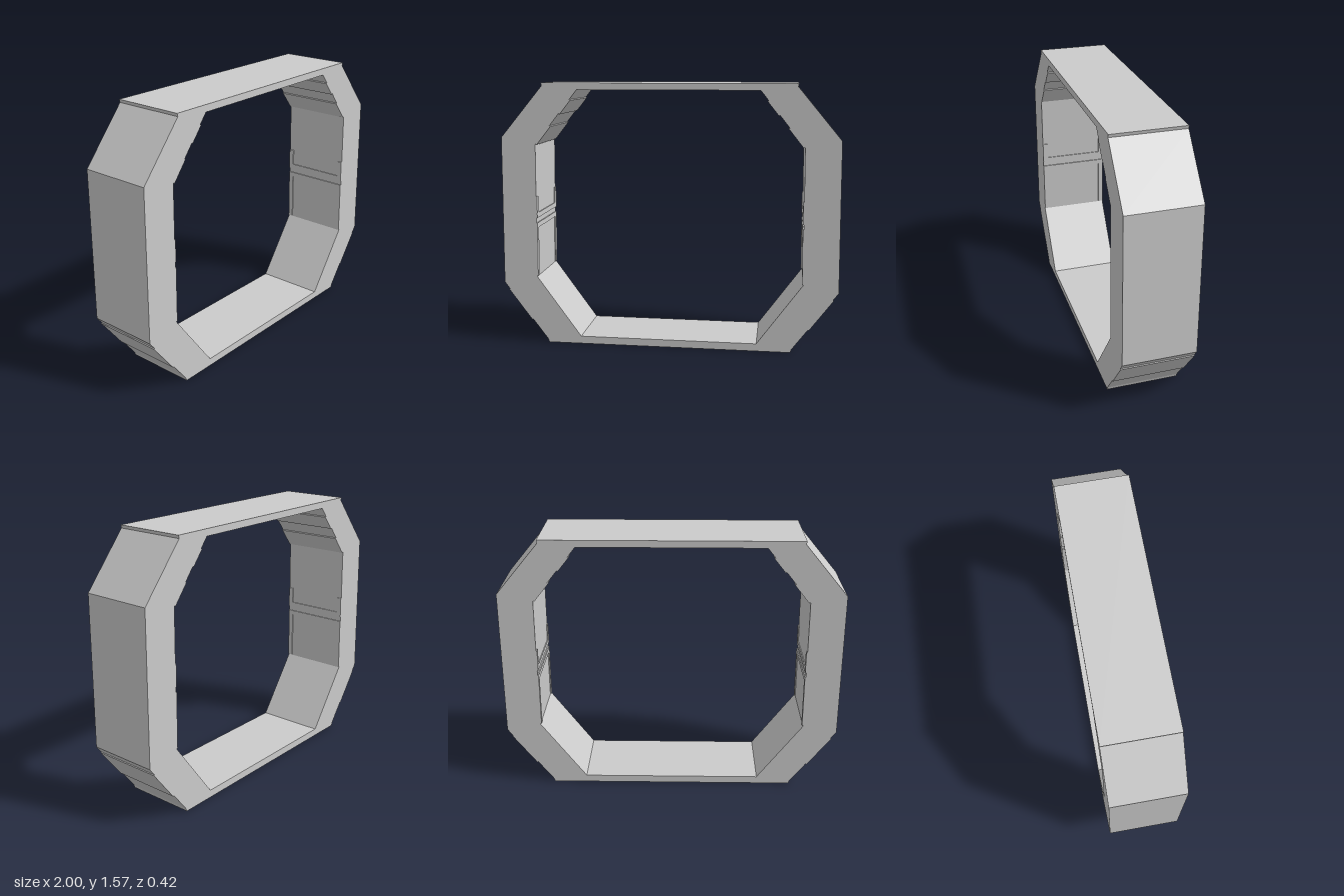
import * as THREE from 'three';

const HALF_DEPTH = 0.21;

// Closed outline mirrored from points that run up the +x side
function mirrored(right) {
  const left = right.map(([x, y]) => [-x, y]).reverse();
  return [...right, ...left].map(([x, y]) => new THREE.Vector2(x, y));
}

export function createModel() {
  const group = new THREE.Group();
  const material = new THREE.MeshStandardMaterial({ color: 0xcccccc, flatShading: true });

  function add(name, geometry) {
    const mesh = new THREE.Mesh(geometry, material);
    mesh.name = name;
    group.add(mesh);
    return mesh;
  }

  // Eight-sided ring with thin lips at the top and bottom plates
  const ring = new THREE.Shape(mirrored([
    [0.73, 0], [0.737, 0.02], [1, 0.37], [0.99, 1.25], [0.738, 1.552], [0.742, 1.57],
  ]));
  ring.holes.push(new THREE.Path(mirrored([
    [0.53, 0.045], [0.795, 0.41], [0.785, 1.21], [0.53, 1.53],
  ])));
  const ringGeometry = new THREE.ExtrudeGeometry(ring, { depth: 2 * HALF_DEPTH, bevelEnabled: false });
  ringGeometry.translate(0, 0, -HALF_DEPTH);
  add('frame', ringGeometry);

  // Thin panel lying on the line from a to b, spanning z0 to z1
  function panel(name, side, a, b, thickness, z0, z1) {
    const dx = b[0] - a[0], dy = b[1] - a[1];
    const geometry = new THREE.BoxGeometry(Math.hypot(dx, dy), thickness, z1 - z0);
    const mesh = add(name, geometry);
    mesh.position.set(side * (a[0] + b[0]) / 2, (a[1] + b[1]) / 2, (z0 + z1) / 2);
    mesh.rotation.z = side * Math.atan2(dy, dx);
  }

  for (const side of [1, -1]) {
    const label = side > 0 ? 'left' : 'right';

    // Raised panel on the lower outer slope
    panel(label + 'LowerPanel', side, [0.829, 0.142], [0.968, 0.328], 0.012, -HALF_DEPTH, HALF_DEPTH);

    // Two raised strips on the upper inner slope
    panel(label + 'UpperStripLow', side, [0.782, 1.213], [0.697, 1.32], 0.014, -HALF_DEPTH, HALF_DEPTH);
    panel(label + 'UpperStripHigh', side, [0.64, 1.392], [0.575, 1.473], 0.014, -HALF_DEPTH, HALF_DEPTH);

    // Two cross bars on the inner side wall
    for (const y of [0.725, 0.785]) {
      panel(label + 'CrossBar', side, [0.791, y - 0.015], [0.7905, y + 0.015], 0.012, -HALF_DEPTH, HALF_DEPTH);
    }

    // Edge trims: long below the cross bars, short above them
    for (const z of [-HALF_DEPTH, HALF_DEPTH - 0.03]) {
      panel(label + 'LowerTrim', side, [0.795, 0.415], [0.791, 0.71], 0.012, z, z + 0.03);
      panel(label + 'UpperTrim', side, [0.79, 0.8], [0.789, 0.9], 0.012, z, z + 0.03);
    }
  }
  return group;
}
